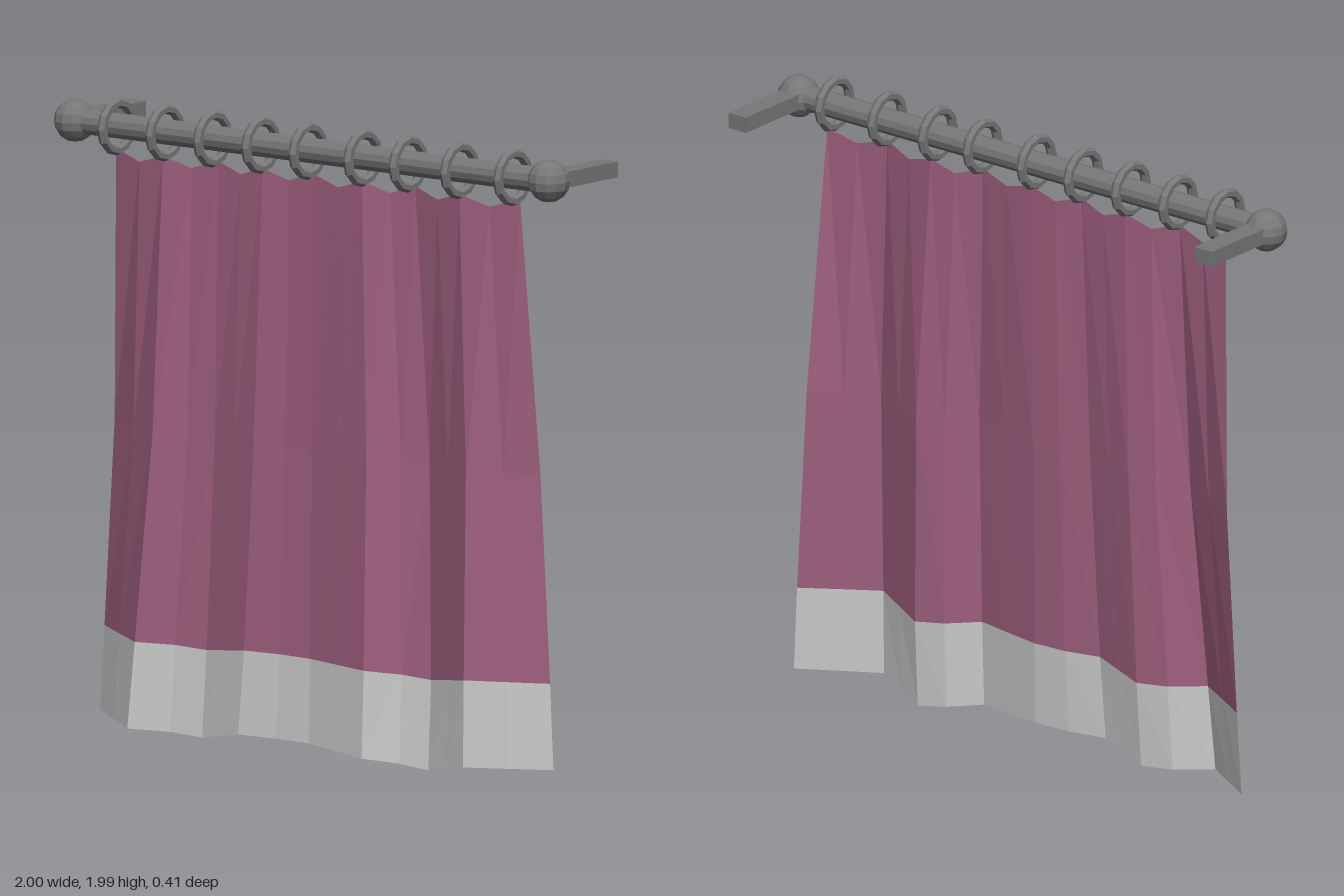
import * as THREE from 'three';

const metal = new THREE.MeshStandardMaterial({ color: 0x777777, flatShading: true });
const cloth = new THREE.MeshStandardMaterial({ color: 0xa0607f, flatShading: true, side: THREE.DoubleSide });
const trim = new THREE.MeshStandardMaterial({ color: 0xcccccc, flatShading: true, side: THREE.DoubleSide });

const ROD_Y = 1.904, ROD_Z = 0.097;
const RINGS = [-0.757, -0.568, -0.38, -0.19, -0.004, 0.212, 0.391, 0.593, 0.803];

// Cloth rows from top to bottom: x and y at each ring, z also midway between rings
const ROWS = {
  top: {
    x: [-0.78, -0.575, -0.38, -0.19, 0, 0.21, 0.39, 0.595, 0.81],
    y: Array(9).fill(1.83),
    z: [0.086, 0.1, 0.113, 0.092, 0.083, 0.092, 0.104, 0.092, 0.09,
      0.1, 0.113, 0.085, 0.075, 0.094, 0.115, 0.1, 0.084],
    sag: 0.03,
  },
  middle: {
    x: [-0.835, -0.59, -0.4, -0.21, 0, 0.253, 0.43, 0.645, 0.843],
    y: Array(9).fill(0.965),
    z: [0.024, 0.085, 0.145, 0.09, 0.075, 0.098, 0.122, 0.1, 0.098,
      0.122, 0.147, 0.085, 0.054, 0.1, 0.146, 0.085, 0.024],
    sag: 0,
  },
  hem: {
    x: [-0.878, -0.645, -0.43, -0.24, 0, 0.253, 0.45, 0.645, 0.878],
    y: [0.315, 0.305, 0.29, 0.315, 0.31, 0.305, 0.285, 0.315, 0.31],
    z: [0.02, 0.093, 0.165, 0.098, 0.078, 0.105, 0.132, 0.108, 0.106,
      0.132, 0.16, 0.095, 0.072, 0.115, 0.157, 0.09, 0.02],
    sag: 0,
  },
  bottom: {
    x: [-0.897, -0.667, -0.44, -0.26, 0, 0.25, 0.45, 0.645, 0.89],
    y: [0.05, 0.032, 0.016, 0.05, 0.045, 0.03, 0.003, 0.042, 0.04],
    z: [0.02, 0.097, 0.174, 0.105, 0.088, 0.112, 0.136, 0.114, 0.112,
      0.138, 0.166, 0.105, 0.086, 0.123, 0.16, 0.09, 0.019],
    sag: 0,
  },
};

// Value of a nine-point list at column i of 17
const at = (list, i) => (list[Math.floor(i / 2)] + list[Math.ceil(i / 2)]) / 2;

// Surface between successive rows, listed from top to bottom
function sheet(...rows) {
  const n = 17, index = [];
  const points = rows.flatMap(({ x, y, z, sag }) =>
    z.flatMap((depth, i) => [at(x, i), at(y, i) - sag * (i % 2), depth]));
  for (let r = 0; r < rows.length - 1; r++) {
    for (let i = 0; i < n - 1; i++) {
      const a = r * n + i, b = a + n;
      index.push(a, b, a + 1, a + 1, b, b + 1);
    }
  }
  const g = new THREE.BufferGeometry();
  g.setAttribute('position', new THREE.Float32BufferAttribute(points, 3));
  g.setIndex(index);
  g.computeVertexNormals();
  return g;
}

export function createModel() {
  const model = new THREE.Group();
  const add = (name, geometry, material, x = 0, y = 0, z = 0) => {
    const mesh = new THREE.Mesh(geometry, material);
    mesh.name = name;
    mesh.position.set(x, y, z);
    model.add(mesh);
  };

  // Rod with a ball and a wall bracket at each end
  add('rod', new THREE.CylinderGeometry(0.04, 0.04, 1.86, 12).rotateZ(Math.PI / 2), metal, 0, ROD_Y, ROD_Z);
  for (const [side, s] of [['left', 1], ['right', -1]]) {
    add(side + 'Finial', new THREE.SphereGeometry(0.067, 12, 8), metal, s * 0.933, ROD_Y, ROD_Z);
    add(side + 'Bracket', new THREE.BoxGeometry(0.07, 0.05, 0.305), metal, s * 0.93, ROD_Y, ROD_Z - 0.155);
  }

  // Curtain rings
  const ring = new THREE.TorusGeometry(0.075, 0.016, 6, 12).rotateY(Math.PI / 2);
  RINGS.forEach((x, i) => add('ring' + (i + 1), ring, metal, x, ROD_Y, 0.111));

  // Curtain with a scalloped top, and the band along its lower edge
  add('curtain', sheet(ROWS.top, ROWS.middle, ROWS.hem), cloth);
  add('hemBand', sheet(ROWS.hem, ROWS.bottom), trim);

  return model;
}
